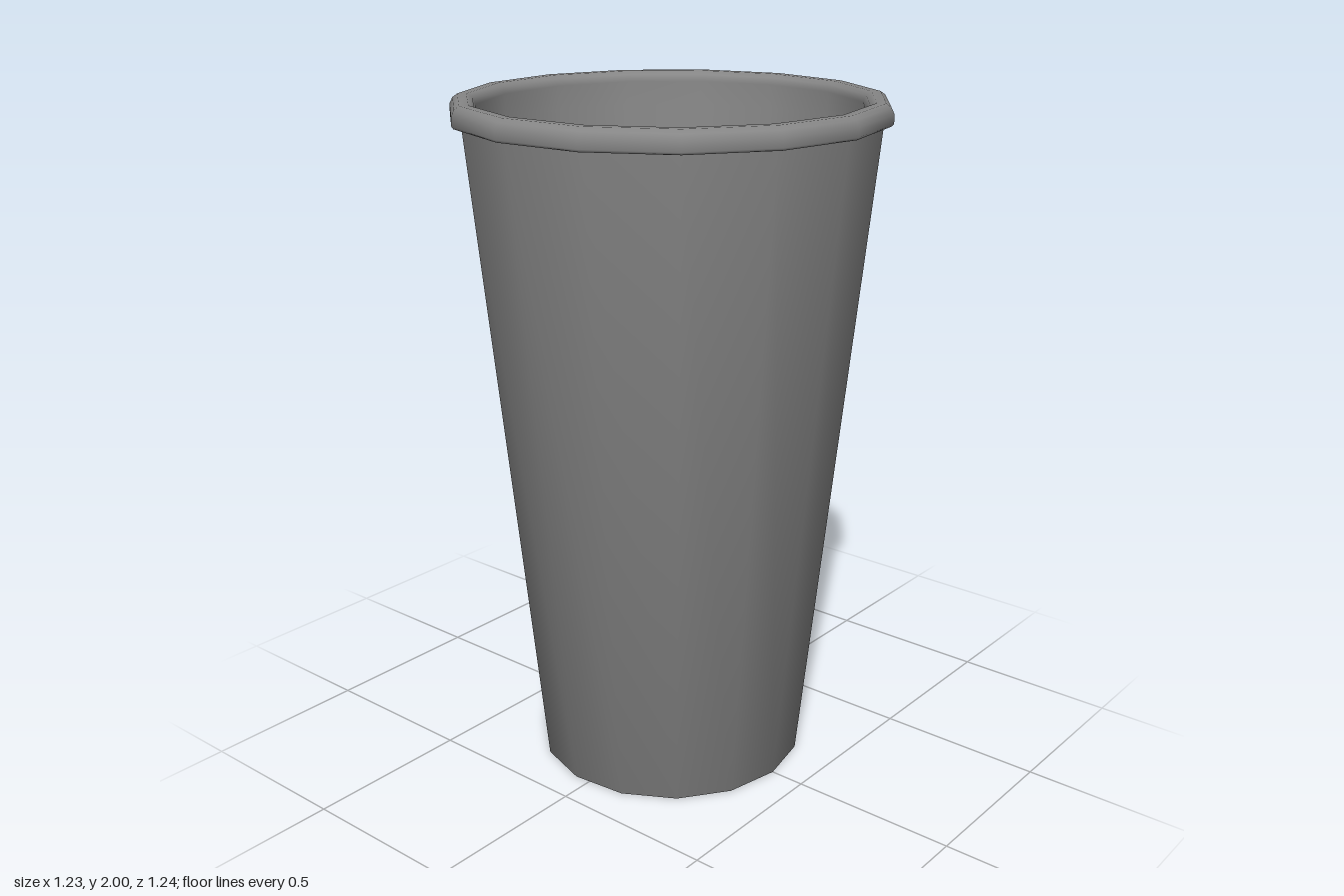
import * as THREE from 'three';

const SIDES = 15;
const material = new THREE.MeshStandardMaterial({ color: 0x878787, side: THREE.DoubleSide });

// Revolve a profile of [radius, height] pairs, with one corner pointing to +x
function revolve(name, profile) {
  const points = profile.map(([r, y]) => new THREE.Vector2(r, y));
  const mesh = new THREE.Mesh(new THREE.LatheGeometry(points, SIDES, Math.PI / 2), material);
  mesh.name = name;
  return mesh;
}

export function createModel() {
  const group = new THREE.Group();
  group.name = 'cup';

  // Underside and tapered outer wall
  group.add(revolve('outerWall', [[0, 0], [0.402, 0], [0.594, 1.94]]));

  // Rolled lip with a flat underside, flowing into the inner wall and floor
  group.add(revolve('rimAndInside', [
    [0.592, 1.94], [0.616, 1.94], [0.621, 1.947], [0.621, 1.972],
    [0.612, 1.99], [0.598, 2], [0.572, 2], [0.556, 1.99],
    [0.548, 1.97], [0.55, 1.9], [0.366, 0.16],
    [0.352, 0.04], [0.3, 0.04], [0, 0.04],
  ]));

  // Centre the odd-sided outline on x
  for (const part of group.children) part.position.x = -0.007;
  return group;
}
